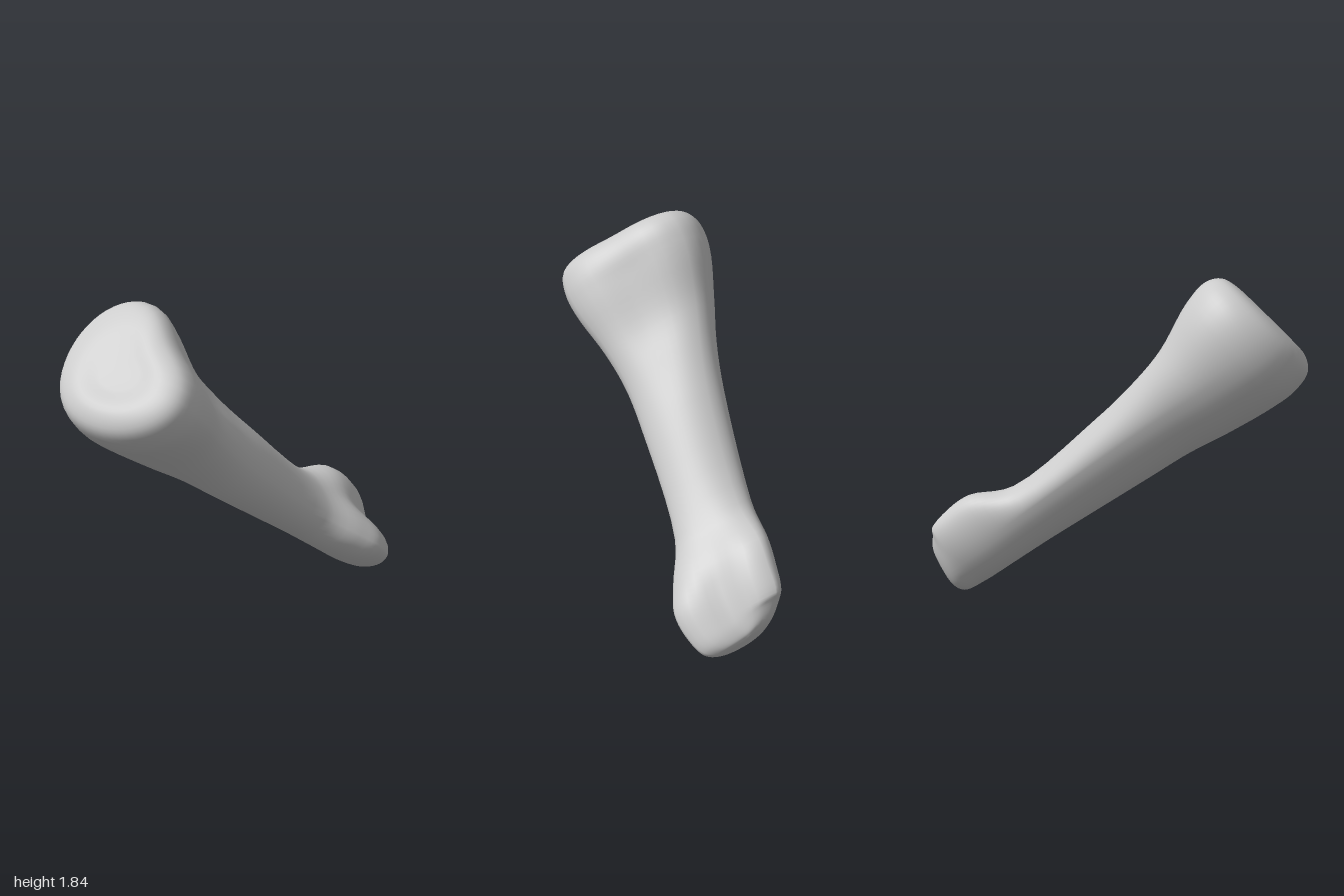
import * as THREE from 'three';

const QUARTER = 12;
const RING = QUARTER * 4;
const STEPS = 5;
const MIDDLE = 0.7;

// x: across, t: across and upward, s: along the slanted shaft
const place = (x, t, s) => new THREE.Vector3(x, 0.64 * s + 0.77 * t, 0.77 * s - 0.64 * t);

// Closed outline of four quarter ellipses; the groove dents its upper right
// and slightly fills its lower left.
// An end ring is the same outline scaled about its middle, moved to s and tilted.
function outline([station, left, right, bottom, top, groove], { scale = 1, s = station, tilt = 0 } = {}) {
  const mid = (left + right) / 2;
  const extremes = [
    [right, 0.61],
    [mid - 0.05 - 0.3 * groove, top],
    [left, 0.74],
    [mid + 0.03, bottom],
  ];
  const points = [];
  for (let i = 0; i < RING; i++) {
    const q = Math.floor(i / QUARTER);
    const [ax, at] = extremes[q];
    const [bx, bt] = extremes[(q + 1) % 4];
    const [ox, ot] = q % 2 === 0 ? [bx, at] : [ax, bt];
    const angle = ((i % QUARTER) / QUARTER) * Math.PI / 2;
    const hollow = [groove, 0, -groove / 5, 0][q];
    const k = 1 - hollow * Math.sin(2 * angle) ** 2;
    const c = Math.cos(angle) * k;
    const d = Math.sin(angle) * k;
    const x = ox + (ax - ox) * c + (bx - ox) * d - mid;
    const t = ot + (at - ot) * c + (bt - ot) * d - MIDDLE;
    points.push(place(mid + x * scale, MIDDLE + t * scale, s + tilt * t * scale));
  }
  return points;
}

// Smooth skin through the rings, closed by a centre point at each end
function loft(rings, startPole, endPole) {
  const rows = (rings.length - 1) * STEPS;
  const columns = rings[0].map((_, j) => new THREE.CatmullRomCurve3(rings.map((ring) => ring[j])));
  const points = [];
  const index = [];
  for (let i = 0; i <= rows; i++) {
    for (const column of columns) points.push(column.getPoint(i / rows));
  }
  const start = points.length;
  points.push(startPole, endPole);
  for (let j = 0; j < RING; j++) {
    const k = (j + 1) % RING;
    for (let i = 0; i < rows; i++) {
      const a = i * RING;
      const b = a + RING;
      index.push(a + j, a + k, b + j, a + k, b + k, b + j);
    }
    index.push(start, k, j, start + 1, rows * RING + j, rows * RING + k);
  }
  const geometry = new THREE.BufferGeometry().setFromPoints(points);
  geometry.setIndex(index);
  geometry.computeVertexNormals();
  return geometry;
}

export function createModel() {
  // Each section: s, left, right, bottom, top, groove
  const knuckles = [-0.5, 0.06, 0.54, 0.487, 0.95, 0.31];
  const head = [1.5, -0.55, 0.25, 0.35, 1.11, 0.17];
  const shaft = [
    [-0.36, 0.015, 0.545, 0.478, 0.975, 0.3],
    [-0.22, -0.02, 0.475, 0.474, 0.965, 0.22],
    [0, -0.075, 0.34, 0.469, 0.855, 0.08],
    [0.6, -0.24, 0.215, 0.43, 0.88, 0.04],
    [0.87, -0.335, 0.185, 0.415, 0.92, 0.1],
    [1.1, -0.44, 0.2, 0.386, 0.98, 0.18],
    [1.36, -0.54, 0.25, 0.357, 1.09, 0.2],
  ];
  const rings = [
    outline(knuckles, { scale: 0.3, s: -0.64, tilt: 0.2 }),
    outline(knuckles, { scale: 0.58, s: -0.628, tilt: 0.25 }),
    outline(knuckles, { scale: 0.85, s: -0.583, tilt: 0.25 }),
    outline(knuckles),
    ...shaft.map((section) => outline(section)),
    outline(head),
    outline(head, { scale: 0.9, s: 1.6, tilt: -0.06 }),
    outline(head, { scale: 0.64, s: 1.642, tilt: -0.1 }),
    outline(head, { scale: 0.3, s: 1.63, tilt: -0.06 }),
  ];
  const bone = new THREE.Mesh(
    loft(rings, place(0.3, MIDDLE, -0.642), place(-0.15, MIDDLE, 1.625)),
    new THREE.MeshStandardMaterial({ color: 0xcccccc }),
  );
  bone.name = 'bone';
  const group = new THREE.Group();
  group.name = 'longBone';
  group.add(bone);
  return group;
}
